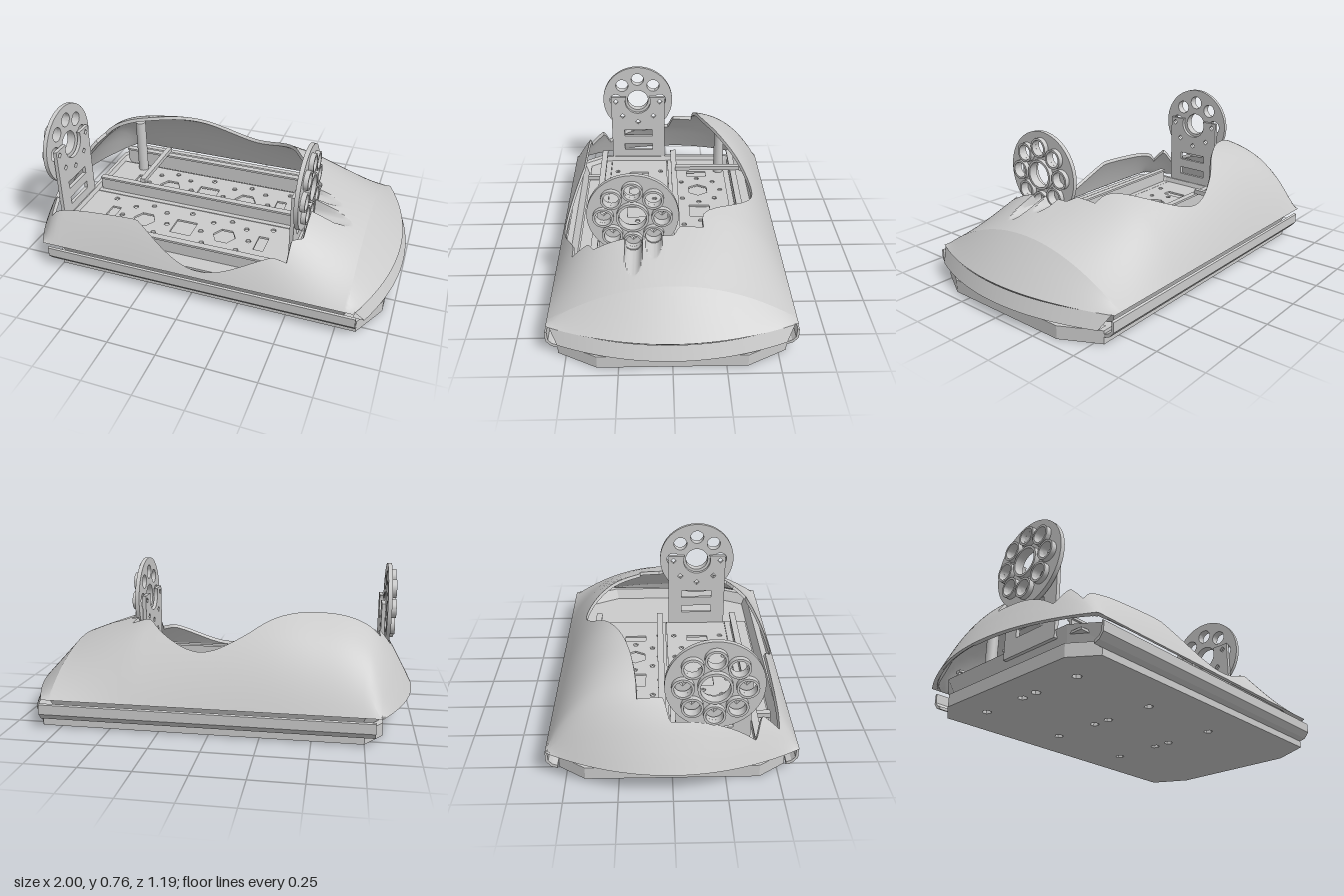
import * as THREE from 'three';
import { toCreasedNormals } from 'three/addons/utils/BufferGeometryUtils.js';
import { ParametricGeometry } from 'three/addons/geometries/ParametricGeometry.js';

const mat = new THREE.MeshStandardMaterial({ color: 0xcccccc });
const thin = new THREE.MeshStandardMaterial({ color: 0xcccccc, side: THREE.DoubleSide });
const mix = THREE.MathUtils.lerp;
const curve = (xs, ys) => {
  const c = new THREE.CubicInterpolant(xs, ys, 1);
  return x => c.evaluate(x)[0];
};

// Centre of the round side mounts
const CY = 0.54, CZ = 0.182;

// Shell rules: plan outline, opening edges and dome height
const W = 0.59, XL = -0.82, XR = 0.48;
const endL = z => -(1 - 0.17 * (z / W) ** 2);
const endR = z => 0.975 - 0.14 * (z / W) ** 2;
const notch = z => 1 - THREE.MathUtils.smoothstep(Math.abs(z - CZ), 0.19, 0.23);
const cutL = z => XL - 0.065 * notch(z);
const cutR = z => XR + 0.05 * notch(z);
const spine = curve(
  [-1, -0.95, -0.88, -0.8, -0.7, -0.5, -0.3, 0, 0.38, 0.5, 0.7, 0.8],
  [0.15, 0.245, 0.365, 0.465, 0.53, 0.58, 0.6, 0.57, 0.492, 0.455, 0.388, 0.35]);
const backCut = curve(
  [-0.82, -0.75, -0.5, -0.3, -0.15, 0.05, 0.2, 0.3, 0.38, 0.41, 0.48],
  [-0.16, -0.165, -0.22, -0.31, -0.4, -0.45, -0.4, -0.31, -0.18, -0.16, -0.16]);
const frontCut = x => 0.49 + 0.085 * Math.cos(Math.min(1, Math.abs(x - 0.05) / 0.36) * Math.PI / 2);
// bores along x that groove the dome beside the left mount: [y, z]
const bores = [[CY - 0.14, CZ], [CY - 0.099, CZ - 0.099]];
function height(x, z) {
  let top;
  if (x > 0.8) top = mix(0.35, 0.16, (x - 0.8) / (endR(z) - 0.8));
  else if (x < -0.78) top = spine(-0.78 - 0.22 * (x + 0.78) / (endL(z) + 0.78));
  else top = spine(x);
  const k = mix(3.3, 2, THREE.MathUtils.smoothstep(x, 0.35, 0.85));
  let y = 0.15 + Math.max(0, top - 0.15) * (1 - Math.abs(z / W) ** k);
  if (x > XR) for (const [by, bz] of bores) {
    const d = Math.abs(z - bz);
    if (d < 0.04) y = Math.min(y, by - Math.sqrt(0.0016 - d * d));
  }
  return y;
}

// Dome as a double-walled grid, leaving out the cells of the opening
function shellGeometry() {
  const NL = 14, NM = 48, NR = 30, NE = 6, NI = NL + NM + NR + NE;
  const JB = 16, JM = 90, JF = 10, NJ = JB + JM + JF;
  const pos = [], index = [], count = (NI + 1) * (NJ + 1);
  const column = (i, z) => {
    if (i <= NL) return mix(endL(z), cutL(z), i / NL);
    if (i < NL + NM) return mix(XL, XR, (i - NL) / NM);
    if (i <= NL + NM + NR) return mix(cutR(z), 0.8, (i - NL - NM) / NR);
    return mix(0.8, endR(z), (i - NL - NM - NR) / NE);
  };
  for (const inner of [0, 1]) for (let i = 0; i <= NI; i++) {
    const x0 = mix(XL, XR, THREE.MathUtils.clamp((i - NL) / NM, 0, 1));
    const zb = backCut(x0), zf = frontCut(x0);
    for (let j = 0; j <= NJ; j++) {
      const z = j <= JB ? mix(-W, zb, j / JB)
        : j <= JB + JM ? mix(zb, zf, (j - JB) / JM) : mix(zf, W, (j - JB - JM) / JF);
      const x = column(i, z), y = height(x, z);
      if (inner) pos.push(x * 0.988, Math.max(0.147, y - 0.018), z * 0.985);
      else pos.push(x, y, z);
    }
  }
  const kept = (i, j) => i >= 0 && j >= 0 && i < NI && j < NJ &&
    !(i >= NL && i < NL + NM && j >= JB && j < JB + JM);
  const id = (i, j) => i * (NJ + 1) + j;
  const quad = (a, b, c, d) => index.push(a, b, c, a, c, d);
  for (let i = 0; i < NI; i++) for (let j = 0; j < NJ; j++) {
    if (!kept(i, j)) continue;
    const a = id(i, j), b = id(i, j + 1), c = id(i + 1, j + 1), d = id(i + 1, j);
    quad(a, b, c, d);
    quad(d + count, c + count, b + count, a + count);
    const wall = (p, q) => quad(p, p + count, q + count, q);
    if (!kept(i - 1, j)) wall(a, b);
    if (!kept(i, j + 1)) wall(b, c);
    if (!kept(i + 1, j)) wall(c, d);
    if (!kept(i, j - 1)) wall(d, a);
  }
  const g = new THREE.BufferGeometry();
  g.setAttribute('position', new THREE.Float32BufferAttribute(pos, 3));
  g.setIndex(index);
  return toCreasedNormals(g, 0.4);
}

// Shape helpers
const poly = pts => new THREE.Shape(pts.map(p => new THREE.Vector2(...p)));
const rect = (x, y, w, h) => poly([[x - w / 2, y - h / 2], [x + w / 2, y - h / 2], [x + w / 2, y + h / 2], [x - w / 2, y + h / 2]]);
const ngon = (x, y, r, n) => poly(Array.from({ length: n }, (_, i) =>
  [x + r * Math.cos(i * 2 * Math.PI / n), y + r * Math.sin(i * 2 * Math.PI / n)]));
const extrude = (shape, depth) => new THREE.ExtrudeGeometry(shape, { depth, bevelEnabled: false, curveSegments: 48 });
// flat slab: shape (x, -z) raised upward; upright: shape (-z, y) thickened along x
const slab = (shape, y, h) => extrude(shape, h).rotateX(-Math.PI / 2).translate(0, y, 0);
const upright = (shape, x, t) => extrude(shape, t).rotateY(Math.PI / 2).translate(x, 0, 0);
const octagon = (l, r, w) => poly([[l, -w + 0.13], [l + 0.09, -w], [r - 0.1, -w], [r, -w + 0.19],
  [r, w - 0.19], [r - 0.1, w], [l + 0.09, w], [l, w - 0.13]]);

export function createModel() {
  const model = new THREE.Group();
  const add = (name, geometry, parent = model, material = mat) => {
    const m = new THREE.Mesh(geometry, material);
    m.name = name;
    parent.add(m);
  };
  const box = (name, w, h, d, x, y, z) => add(name, new THREE.BoxGeometry(w, h, d).translate(x, y, z));

  add('shell', shellGeometry(), model, thin);
  // Skirt closing the left end, with a flat underside running back to the liner
  const skirtWidth = v => mix(0.575, 0.535, v);
  add('endSkirt', new ParametricGeometry((u, v, p) => {
    const z = mix(-1, 1, u) * skirtWidth(v);
    p.set(endR(z) - 0.004 + 0.029 * v, mix(0.152, 0.08, v), z);
  }, 24, 2), model, thin);
  add('endSkirtUnderside', new ParametricGeometry((u, v, p) => {
    const z = mix(-1, 1, u) * skirtWidth(1);
    p.set(mix(endR(z) + 0.025, 0.83, v), 0.08, z);
  }, 24, 1), model, thin);

  // Base tray with mounting holes
  const tray = octagon(-0.84, 0.95, 0.54);
  for (const x of [-0.67, -0.19, 0.29]) for (const z of [0.31, 0.04, -0.055, -0.325])
    tray.holes.push(ngon(x, -z, 0.024, 6));
  add('baseTray', slab(tray, 0, 0.066));

  // Liner under the rim, flaring upward
  const frame = octagon(-0.82, 0.88, 0.53);
  frame.holes.push(octagon(-0.8, 0.86, 0.5));
  const liner = slab(frame, 0.075, 0.073), lp = liner.attributes.position;
  for (let i = 0; i < lp.count; i++) if (lp.getY(i) > 0.1) {
    lp.setX(i, lp.getX(i) * 1.03);
    lp.setZ(i, lp.getZ(i) * 1.06);
  }
  liner.computeVertexNormals();
  add('rimLiner', liner);
  add('floor', slab(octagon(-0.81, 0.87, 0.515), 0.075, 0.012));

  // Curved side rails
  for (const s of [-1, 1]) add('sideRail', upright(poly([[0.54, 0.035], [0.57, 0.045], [0.595, 0.075],
    [0.595, 0.125], [0.585, 0.13], [0.582, 0.08], [0.565, 0.06], [0.54, 0.05]].map(([a, b]) => [a * s, b])), -0.8, 1.65));

  // Perforated channel floors
  for (const zc of [0.178, -0.187]) {
    const plate = rect(-0.18, -zc, 1.29, 0.36);
    for (const x of [-0.43, 0.05]) {
      plate.holes.push(ngon(x, -zc, 0.064, 6));
      for (let i = 0; i < 8; i++) {
        const a = i * Math.PI / 4;
        plate.holes.push(ngon(x + 0.138 * Math.cos(a), -zc + 0.138 * Math.sin(a), 0.016, 5));
      }
    }
    for (const [x, w] of [[-0.63, 0.055], [-0.19, 0.12], [0.26, 0.055]]) plate.holes.push(rect(x, -zc, w, 0.12));
    for (const x of [-0.67, -0.19, 0.29]) for (const z of [-0.138, 0.138]) plate.holes.push(ngon(x, -zc + z, 0.016, 6));
    add('channelFloor', slab(plate, 0.11, 0.012));
  }
  for (const z of [-0.41, -0.043, 0.4]) {
    box('channelWall', 1.23, 0.1, 0.015, -0.19, 0.15, z);
    box('channelFlange', 1.23, 0.012, 0.035, -0.19, 0.2, z);
  }
  box('frontLedge', 1.29, 0.012, 0.13, -0.18, 0.116, 0.425);
  box('crossBar', 0.03, 0.025, 0.4, -0.54, 0.22, -0.25);
  box('frontCrossBar', 0.03, 0.025, 0.09, -0.55, 0.15, 0.45);
  add('supportPost', new THREE.CylinderGeometry(0.03, 0.03, 0.37, 20).translate(-0.67, 0.265, -0.33));

  // Side mounts: slotted upright plate and a round plate with ringed holes
  const spots = Array.from({ length: 8 }, (_, i) => [-CZ + 0.14 * Math.cos(i * Math.PI / 4), CY + 0.14 * Math.sin(i * Math.PI / 4)]);
  for (const s of [-1, 1]) {
    const mount = new THREE.Group();
    mount.name = s < 0 ? 'rightMount' : 'leftMount';
    model.add(mount);
    const plate = new THREE.Shape();
    plate.moveTo(-CZ - 0.17, 0.11);
    plate.lineTo(-CZ + 0.17, 0.11);
    plate.lineTo(-CZ + 0.17, 0.57);
    plate.lineTo(-CZ + 0.074, 0.57);
    plate.absarc(-CZ, CY, 0.08, 0.38, Math.PI - 0.38, true);
    plate.lineTo(-CZ - 0.17, 0.57);
    for (const y of [0.22, 0.32]) plate.holes.push(rect(-CZ, y, 0.18, 0.045));
    for (const i of [0, 4, 5, 6, 7]) plate.holes.push(ngon(...spots[i], 0.017, 4));
    add('uprightPlate', upright(plate, s < 0 ? -0.85 : 0.453, 0.02), mount);

    const disc = new THREE.Shape().absarc(-CZ, CY, 0.22, 0, Math.PI * 2);
    disc.holes.push(ngon(-CZ, CY, 0.066, 32), ...spots.map(p => ngon(...p, 0.039, 24)));
    add('roundPlate', toCreasedNormals(upright(disc, s < 0 ? -0.88 : 0.478, 0.022), 0.6), mount);
    for (const [p, r, w] of [[[-CZ, CY], 0.066, 0.012], ...spots.map(p => [p, 0.039, 0.011])]) {
      const ring = ngon(...p, r + w, 32);
      ring.holes.push(ngon(...p, r, 32));
      add('holeRing', toCreasedNormals(upright(ring, s < 0 ? -0.905 : 0.498, 0.026), 0.6), mount);
    }
  }
  return model;
}
